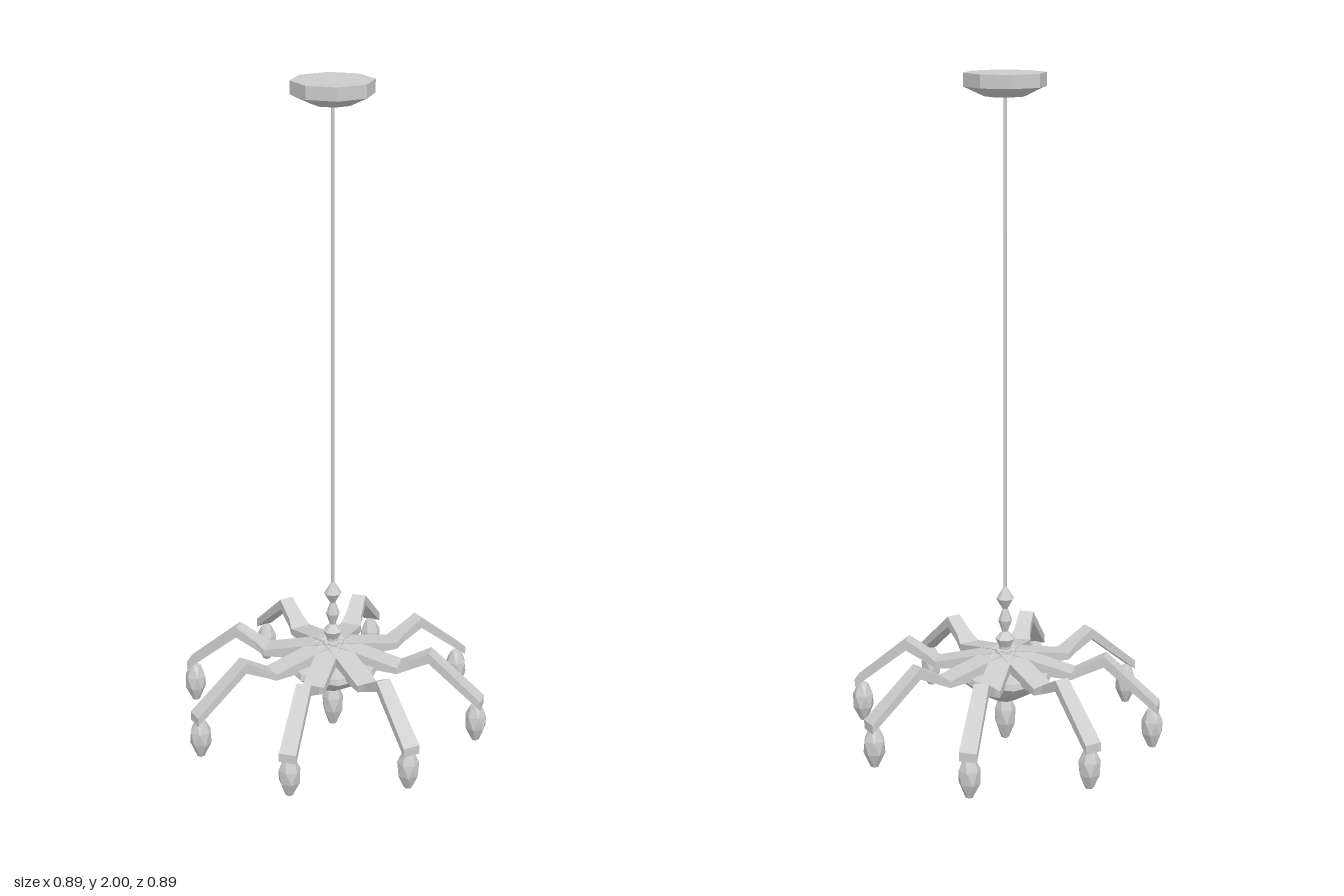
import * as THREE from 'three';

const material = new THREE.MeshStandardMaterial({ color: 0xcccccc, flatShading: true });

function add(parent, geometry, name) {
  const mesh = new THREE.Mesh(geometry, material);
  mesh.name = name;
  parent.add(mesh);
  return mesh;
}

// Faceted turned part, profile given as [radius, y] from bottom to top
function turned(profile, sides = 8) {
  return new THREE.LatheGeometry(profile.map(([r, y]) => new THREE.Vector2(r, y)), sides);
}

// Turned gem whose rings are twisted half a facet each, giving triangular facets
function crystalGeometry(bottom, top) {
  const sides = 6;
  const h = top - bottom;
  const profile = [[0, bottom], [0.012, bottom + h * 0.04], [0.032, bottom + h * 0.4],
    [0.032, bottom + h * 0.72], [0.016, top], [0, top]];
  const geometry = turned(profile, sides);
  const p = geometry.attributes.position;
  const v = new THREE.Vector3();
  const up = new THREE.Vector3(0, 1, 0);
  for (let i = 0; i < p.count; i++) {
    v.fromBufferAttribute(p, i).applyAxisAngle(up, (i % profile.length) * Math.PI / sides);
    p.setXYZ(i, v.x, v.y, v.z);
  }
  return geometry;
}

// Bent arm lofted along +x from rectangular stations: [x, half width, bottom, top]
function armGeometry() {
  const stations = [
    [0, 0.033, 0.235, 0.295],
    [0.21, 0.033, 0.222, 0.242],
    [0.24, 0.025, 0.235, 0.262],
    [0.305, 0.022, 0.266, 0.3],
    [0.468, 0.026, 0.133, 0.16],
  ];
  const positions = [];
  const index = [];
  stations.forEach(([x, w, b, t]) => positions.push(x, b, w, x, b, -w, x, t, -w, x, t, w));
  for (let s = 0; s < stations.length - 1; s++) {
    for (let k = 0; k < 4; k++) {
      const a = s * 4 + k, b = s * 4 + (k + 1) % 4;
      index.push(a, b, b + 4, a, b + 4, a + 4);
    }
  }
  const e = (stations.length - 1) * 4;
  index.push(0, 2, 1, 0, 3, 2, e, e + 1, e + 2, e, e + 2, e + 3);
  const geometry = new THREE.BufferGeometry();
  geometry.setAttribute('position', new THREE.Float32BufferAttribute(positions, 3));
  geometry.setIndex(index);
  geometry.computeVertexNormals();
  return geometry;
}

export function createModel() {
  const model = new THREE.Group();
  model.name = 'chandelier';

  // Ceiling mount and hanging rod
  add(model, turned([[0, 1.935], [0.06, 1.935], [0.118, 1.962], [0.118, 2], [0, 2]]), 'ceilingMount');
  const rod = add(model, new THREE.CylinderGeometry(0.005, 0.005, 1.47, 8), 'rod');
  rod.position.y = 1.205;

  // Stack of faceted beads above the hub
  add(model, turned([[0.018, 0.285], [0.018, 0.302], [0.03, 0.326], [0.009, 0.348], [0.021, 0.384],
    [0.008, 0.42], [0.027, 0.453], [0.005, 0.488], [0, 0.488]]), 'beadStem');

  // Bowl under the arms and its central pendant
  add(model, turned([[0, 0.13], [0.035, 0.133], [0.118, 0.183], [0.155, 0.217], [0.15, 0.235],
    [0.05, 0.25], [0, 0.25]]), 'bowl');
  add(model, crystalGeometry(0, 0.138), 'centrePendant');

  // Eight arms, each with a hanging crystal
  const arm = armGeometry();
  const crystal = crystalGeometry(0.015, 0.138);
  for (let i = 0; i < 8; i++) {
    const group = new THREE.Group();
    group.name = 'arm' + (i + 1);
    add(group, arm, 'armBeam');
    add(group, crystal, 'armCrystal').position.x = 0.45;
    group.rotation.y = (i + 0.5) * Math.PI / 4;
    model.add(group);
  }
  return model;
}
